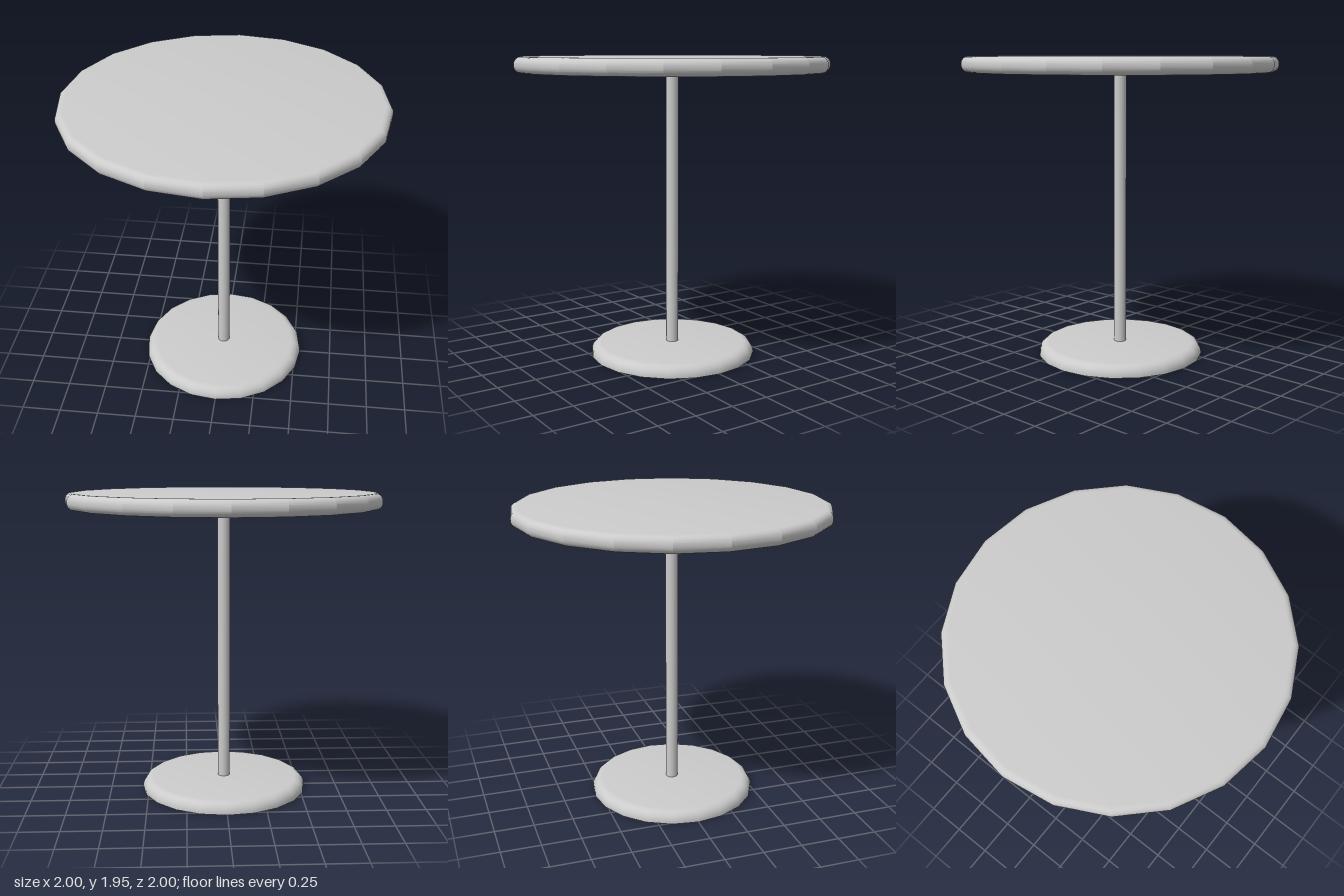
import * as THREE from 'three';
import { toCreasedNormals } from 'three/addons/utils/BufferGeometryUtils.js';

const SIDES = 20;
const material = new THREE.MeshStandardMaterial({ color: 0xcccccc });

// Quarter-round (or longer) arc of profile points between two angles
function arc(cx, cy, r, from, to, steps) {
  return Array.from({ length: steps + 1 }, (_, i) => {
    const a = from + ((to - from) * i) / steps;
    return new THREE.Vector2(cx + r * Math.cos(a), cy + r * Math.sin(a));
  });
}

// Closed disc turned from an edge profile running bottom to top
function disc(name, edge, crease) {
  const profile = [
    new THREE.Vector2(0, edge[0].y),
    ...edge,
    new THREE.Vector2(0, edge[edge.length - 1].y),
  ];
  const mesh = new THREE.Mesh(toCreasedNormals(new THREE.LatheGeometry(profile, SIDES), crease), material);
  mesh.name = name;
  return mesh;
}

export function createModel() {
  const table = new THREE.Group();
  table.name = 'pedestalTable';
  const q = Math.PI / 2;

  // Round top with a softened rim, facets kept visible
  table.add(disc('tableTop', [
    ...arc(0.955, 1.895, 0.045, -q, 0, 6),
    ...arc(0.955, 1.905, 0.045, 0, q, 6),
  ], 0.3));

  // Foot with a flat underside and rounded upper edge
  table.add(disc('base', [
    new THREE.Vector2(0.54, 0),
    ...arc(0.475, 0.01, 0.065, 0, q, 6),
  ], 0.6));

  // Slim central column
  const column = new THREE.Mesh(new THREE.CylinderGeometry(0.04, 0.04, 1.8, SIDES), material);
  column.name = 'column';
  column.position.y = 0.96;
  table.add(column);

  return table;
}
